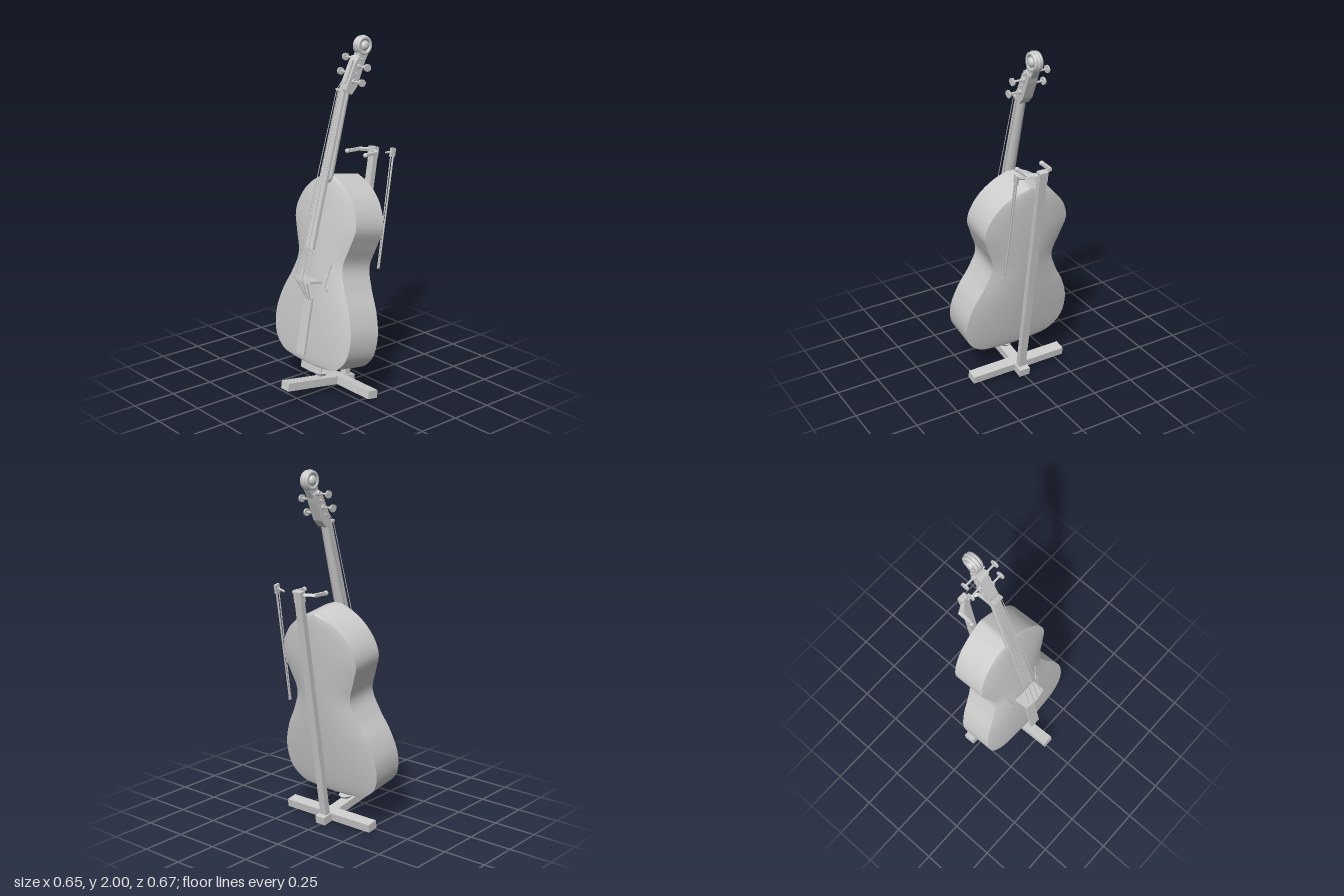
import * as THREE from 'three';

const V = (x, y, z) => new THREE.Vector3(x, y, z);
const UP = V(0, 1, 0);

export function createModel() {
  const grey = new THREE.MeshStandardMaterial({ color: 0xcccccc });
  grey.name = 'light grey';
  const model = new THREE.Group();
  model.name = 'celloOnStand';
  // Everything leans back together, so parts are placed in an upright frame
  const lean = new THREE.Group();
  lean.name = 'leaningAssembly';
  lean.rotation.x = -THREE.MathUtils.degToRad(9);
  model.add(lean);

  const add = (name, geo, pos = V(0, 0, 0)) => {
    const m = new THREE.Mesh(geo, grey);
    m.name = name;
    m.position.copy(pos);
    lean.add(m);
    return m;
  };
  // Stretch a y-aligned geometry from a to b
  const span = (name, geo, a, b) => {
    const m = add(name, geo, a.clone().add(b).multiplyScalar(0.5));
    m.quaternion.setFromUnitVectors(UP, b.clone().sub(a).normalize());
    return m;
  };
  const rod = (name, a, b, r, r2 = r, sides = 12) =>
    span(name, new THREE.CylinderGeometry(r2, r, a.distanceTo(b), sides), a, b);
  const bar = (name, a, b, w, d, taper = 1) => {
    const geo = new THREE.BoxGeometry(w, a.distanceTo(b), d);
    const p = geo.attributes.position;
    for (let i = 0; i < p.count; i++) if (p.getY(i) > 0) p.setX(i, p.getX(i) * taper);
    return span(name, geo, a, b);
  };
  // Side profile given as [z, y], extruded across x
  const profile = (name, pts, width) => {
    const shape = new THREE.Shape(pts.map(([z, y]) => new THREE.Vector2(z, y)));
    const geo = new THREE.ExtrudeGeometry(shape, { depth: width, bevelEnabled: false });
    return add(name, geo.translate(0, 0, -width / 2).rotateY(-Math.PI / 2));
  };
  // Smooth surface from a rule f(u, v), facing du x dv
  const surface = (f, nu, nv) => {
    const pos = [], idx = [];
    for (let i = 0; i <= nu; i++) for (let j = 0; j <= nv; j++) pos.push(...f(i / nu, j / nv));
    for (let i = 0; i < nu; i++) for (let j = 0; j < nv; j++) {
      const a = i * (nv + 1) + j, b = a + nv + 1;
      idx.push(a, b, b + 1, a, b + 1, a + 1);
    }
    const geo = new THREE.BufferGeometry();
    geo.setAttribute('position', new THREE.Float32BufferAttribute(pos, 3));
    geo.setIndex(idx);
    geo.computeVertexNormals();
    return geo;
  };

  // Body: half outline, domed plates and straight ribs
  const outline = new THREE.CatmullRomCurve3([
    [0, 0.167], [0.12, 0.172], [0.228, 0.193], [0.305, 0.265], [0.326, 0.39], [0.29, 0.525],
    [0.228, 0.645], [0.19, 0.76], [0.228, 0.885], [0.257, 0.98], [0.24, 1.06],
    [0.185, 1.145], [0.095, 1.213], [0, 1.248],
  ].map(([x, y]) => V(x, y, 0)));
  const DEPTH = 0.2;
  const plate = (side) => (u, v) => {
    const p = outline.getPointAt(u);
    const t = (1 - 2 * v) * -side;
    const k = THREE.MathUtils.clamp((p.y - 0.167) / 1.081, 0, 1);
    const dome = 0.038 * (1 - t * t) * Math.sqrt(Math.max(0, Math.sin(Math.PI * k)));
    return [-t * Math.max(0, p.x), p.y, (side > 0 ? DEPTH : 0) + side * dome];
  };
  add('bellyPlate', surface(plate(1), 64, 20));
  add('backPlate', surface(plate(-1), 64, 20));
  add('ribs', surface((u, v) => {
    const p = outline.getPointAt(u < 0.5 ? u * 2 : 2 - u * 2);
    return [u < 0.5 ? p.x : -p.x, p.y, v * DEPTH];
  }, 128, 1));

  // Sound holes
  for (const s of [-1, 1]) {
    const curve = new THREE.CatmullRomCurve3([
      V(s * 0.125, 0.77, 0.221), V(s * 0.118, 0.74, 0.224), V(s * 0.112, 0.69, 0.227),
      V(s * 0.1, 0.64, 0.231), V(s * 0.108, 0.615, 0.231),
    ]);
    add('soundHole', new THREE.TubeGeometry(curve, 20, 0.004, 6));
    const eye = add('soundHoleEye', new THREE.SphereGeometry(0.018, 16, 8), V(s * 0.115, 0.628, 0.229));
    eye.scale.z = 0.2;
  }

  // Neck, fingerboard and nut
  rod('neck', V(0, 1.225, 0.216), V(0, 1.71, 0.164), 0.03, 0.024, 24).scale.z = 0.88;
  const heel = add('neckHeel', new THREE.SphereGeometry(0.03, 20, 12), V(0, 1.228, 0.216));
  heel.scale.z = 0.88;
  bar('fingerboard', V(0, 0.831, 0.284), V(0, 1.705, 0.187), 0.064, 0.016, 0.7);
  bar('nut', V(0, 1.698, 0.196), V(0, 1.71, 0.195), 0.062, 0.034);

  // Pegbox and scroll
  profile('pegbox', [[0.143, 1.685], [0.186, 1.7], [0.183, 1.73], [0.142, 1.865], [0.118, 1.895],
    [0.075, 1.88], [0.085, 1.83], [0.112, 1.729]], 0.058);
  profile('scrollThroat', [[0.142, 1.86], [0.118, 1.9], [0.118, 1.95], [0.05, 1.92], [0.075, 1.86]], 0.042);
  bar('pegboxLid', V(0, 1.74, 0.179), V(0, 1.87, 0.143), 0.028, 0.02);
  const eye = V(0, 1.953, 0.084);
  for (const [x, r] of [[-0.015, 0.042], [0, 0.046], [0.015, 0.042]])
    add('scrollTurn', new THREE.TorusGeometry(r, 0.011, 10, 32).rotateY(Math.PI / 2), eye.clone().setX(x));
  rod('scrollCore', V(-0.016, eye.y, eye.z), V(0.016, eye.y, eye.z), 0.044, 0.044, 32);
  for (const s of [-1, 1])
    add('scrollBoss', new THREE.SphereGeometry(0.026, 20, 12).scale(0.7, 1, 1), V(s * 0.02, eye.y, eye.z));

  // Tuning pegs, alternating sides
  [[1.757, 0.143, 1], [1.8, 0.131, -1], [1.84, 0.118, 1], [1.88, 0.108, -1]].forEach(([y, z, s]) => {
    rod('pegShaft', V(-s * 0.042, y, z), V(s * 0.1, y, z), 0.006);
    rod('pegCollar', V(s * 0.03, y, z), V(s * 0.044, y, z), 0.014);
    const head = rod('pegHead', V(s * 0.094, y, z), V(s * 0.103, y, z), 0.024, 0.024, 16);
    head.scale.x = 0.85;
  });

  // Bridge, tailpiece and strings
  const bridge = new THREE.Shape();
  bridge.moveTo(-0.078, 0.235);
  bridge.lineTo(-0.074, 0.318);
  bridge.quadraticCurveTo(0, 0.338, 0.074, 0.318);
  bridge.lineTo(0.078, 0.235);
  bridge.lineTo(0.04, 0.225);
  bridge.lineTo(-0.04, 0.225);
  add('bridge', new THREE.ExtrudeGeometry(bridge, { depth: 0.014, bevelEnabled: false })
    .rotateX(Math.PI / 2), V(0, 0.662, 0));
  bar('tailpiece', V(0, 0.224, 0.258), V(0, 0.55, 0.249), 0.066, 0.014);
  for (const k of [-1.5, -0.5, 0.5, 1.5]) {
    const top = V(k * 0.034, 0.655, 0.329 - 0.003 * k * k);
    rod('string', V(k * 0.013, 1.705, 0.213), top, 0.0022, 0.0022, 6);
    rod('stringAfterlength', top, V(k * 0.015, 0.54, 0.256), 0.0022, 0.0022, 6);
    rod('pegboxString', V(k * 0.013, 1.705, 0.213), V(k * 0.008, 1.78, 0.172), 0.002, 0.002, 6);
  }

  // End pin resting in a cup
  rod('endPin', V(0, 0.06, 0.095), V(0, 0.18, 0.1), 0.01);
  rod('endPinCollar', V(0, 0.145, 0.099), V(0, 0.175, 0.1), 0.018, 0.022, 16);
  rod('endPinCup', V(0, 0.085, 0.095), V(0, 0.1, 0.095), 0.03, 0.04, 24);

  // Stand: crossed feet and post
  add('longFoot', new THREE.BoxGeometry(0.065, 0.046, 0.49), V(0, 0.047, 0.1));
  add('crossFoot', new THREE.BoxGeometry(0.6, 0.046, 0.066), V(0, 0.047, -0.047));
  bar('standPost', V(0, 0.05, -0.097), V(0, 1.4, -0.097), 0.045, 0.032);
  add('postBlock', new THREE.BoxGeometry(0.05, 0.06, 0.038), V(0, 1.372, -0.095));

  // Yoke holding the neck
  for (const s of [-1, 1]) {
    const a = V(s * 0.015, 1.382, -0.085), b = V(s * 0.073, 1.376, -0.055), c = V(s * 0.076, 1.362, 0.03);
    bar('yokeShoulder', a, b, 0.016, 0.018);
    bar('yokeArm', b, c, 0.016, 0.018);
    add('yokeElbow', new THREE.SphereGeometry(0.011, 12, 8), b);
    add('yokeTip', new THREE.SphereGeometry(0.014, 12, 8), c);
  }

  // Bow hanging beside the post
  rod('bowStick', V(0.157, 1.42, -0.1), V(0.17, 0.74, -0.092), 0.006, 0.004, 8);
  bar('bowHair', V(0.157, 1.4, -0.082), V(0.17, 0.745, -0.082), 0.006, 0.003);
  bar('bowFrog', V(0.158, 1.37, -0.092), V(0.157, 1.42, -0.094), 0.014, 0.032);
  bar('bowTip', V(0.17, 0.74, -0.087), V(0.17, 0.755, -0.087), 0.008, 0.016);
  rod('bowPeg', V(0.106, 1.385, -0.092), V(0.16, 1.4, -0.092), 0.006, 0.006, 8);

  return model;
}
